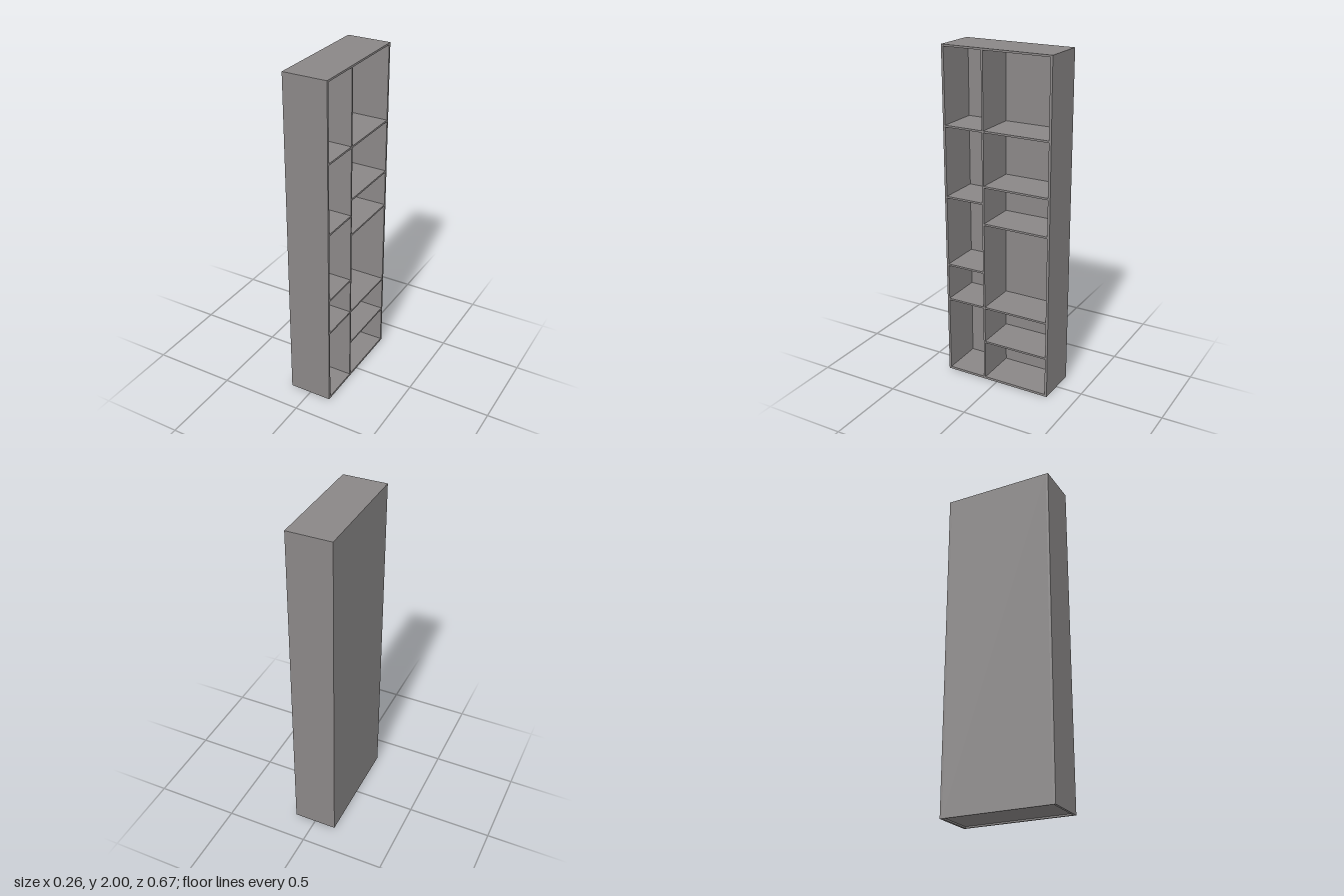
import * as THREE from 'three';

export function createModel() {
  const model = new THREE.Group();
  model.name = 'bookcase';
  const grey = new THREE.MeshStandardMaterial({ color: 0x8a8787 });
  grey.name = 'warm grey';

  // Board spanning the given minimum and maximum on each axis
  function board(name, [x0, x1], [y0, y1], [z0, z1]) {
    const mesh = new THREE.Mesh(new THREE.BoxGeometry(x1 - x0, y1 - y0, z1 - z0), grey);
    mesh.position.set((x0 + x1) / 2, (y0 + y1) / 2, (z0 + z1) / 2);
    mesh.name = name;
    model.add(mesh);
  }

  const X = 0.13, Z = 0.337, H = 2;
  const side = 0.014, thick = 0.011, back = -X + 0.007;
  const inner = Z - side;
  const divider = [0.077, 0.088];

  // Outer case, open towards +x
  board('leftSide', [-X, X], [0, H], [inner, Z]);
  board('rightSide', [-X, X], [0, H], [-Z, -inner]);
  board('backPanel', [-X, back], [0, H], [-inner, inner]);
  board('topBoard', [back, X], [H - thick, H], [-inner, inner]);

  // Floor board, slightly raised behind a thin plinth edge
  board('bottomBoard', [back, X - thick], [0.009, 0.014], [-inner, inner]);
  board('plinthEdge', [X - thick, X], [0, 0.014], [-inner, inner]);

  // Upright between the narrow and the wide column
  board('divider', [back, X], [0.014, H - thick], divider);

  // Shelves, by centre height
  for (const y of [0.478, 0.703, 1.127, 1.546])
    board('narrowShelf', [back, X], [y - thick / 2, y + thick / 2], [divider[1], inner]);
  for (const y of [0.252, 0.478, 1.004, 1.228, 1.546])
    board('wideShelf', [back, X], [y - thick / 2, y + thick / 2], [-inner, divider[0]]);

  return model;
}
